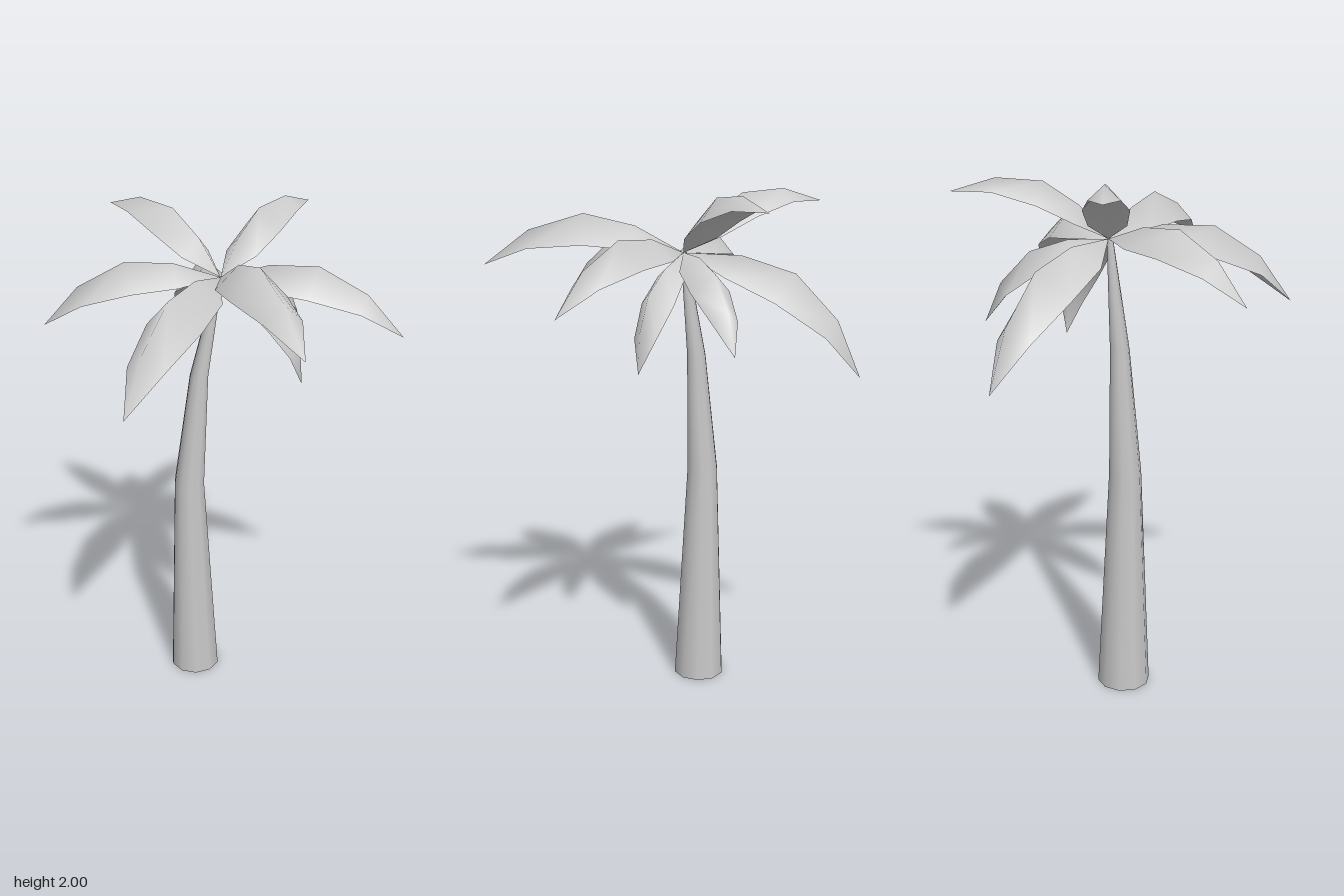
import * as THREE from 'three';

const CROWN = new THREE.Vector3(-0.03, 1.77, -0.07);

// Leaf stations in units of leaf length: along, bulge, half width, edge drop
const STATIONS = [
  [0, 0, 0, 0],
  [0.23, 0.145, 0.115, 0.11],
  [0.48, 0.22, 0.135, 0.145],
  [0.76, 0.157, 0.09, 0.085],
  [1, 0, 0, 0],
];

// Leaf tips, going round the crown
const TIPS = [
  [0.655, 1.60, -0.07],
  [0.41, 1.72, 0.55],
  [-0.16, 1.50, 0.665],
  [-0.655, 1.60, 0.14],
  [-0.55, 1.95, -0.34],
  [-0.345, 1.32, -0.665],
  [0.19, 1.945, -0.60],
  [0.20, 1.455, -0.48],
  [0.28, 1.36, -0.11],
];

// Trunk rings: height, centre x, radius
const RINGS = [
  [0, -0.15, 0.104],
  [0.9, -0.163, 0.062],
  [1.37, -0.117, 0.037],
  [1.77, -0.035, 0.012],
];

// Arched leaf folded along its ridge
function leafGeometry(tip) {
  const chord = new THREE.Vector3(...tip).sub(CROWN);
  const size = chord.length();
  const dir = chord.normalize();
  const side = new THREE.Vector3(0, 1, 0).cross(dir).normalize();
  const up = dir.clone().cross(side);
  const positions = [], index = [];
  STATIONS.forEach(([along, bulge, half, drop], i) => {
    for (const s of [-1, 0, 1]) {
      const p = CROWN.clone()
        .addScaledVector(dir, along * size)
        .addScaledVector(up, (bulge - Math.abs(s) * drop) * size)
        .addScaledVector(side, s * half * size);
      positions.push(p.x, p.y, p.z);
    }
    if (i === 0) return;
    for (let k = 0; k < 2; k++) {
      const a = (i - 1) * 3 + k, b = a + 1, c = a + 3, d = a + 4;
      if (i > 1) index.push(a, d, b);
      if (i === 1) index.push(a, c, d);
      else if (i < STATIONS.length - 1) index.push(a, c, d);
    }
  });
  const geometry = new THREE.BufferGeometry();
  geometry.setAttribute('position', new THREE.Float32BufferAttribute(positions, 3));
  geometry.setIndex(index);
  geometry.computeVertexNormals();
  // The corners meeting at each pointed end share the ridge direction
  const normal = geometry.attributes.normal;
  const last = (STATIONS.length - 1) * 3;
  for (const start of [0, last]) {
    const sum = new THREE.Vector3();
    for (let k = 0; k < 3; k++) sum.add(new THREE.Vector3().fromBufferAttribute(normal, start + k));
    sum.normalize();
    for (let k = 0; k < 3; k++) normal.setXYZ(start + k, sum.x, sum.y, sum.z);
  }
  return geometry;
}

// Ten-sided tapering trunk, bent by moving each ring
function trunkGeometry() {
  const n = RINGS.length - 1;
  const geometry = new THREE.CylinderGeometry(1, 1, 1, 10, n);
  geometry.rotateY(Math.PI / 2);
  const pos = geometry.attributes.position;
  for (let i = 0; i < pos.count; i++) {
    const [y, x, r] = RINGS[Math.round((pos.getY(i) + 0.5) * n)];
    pos.setXYZ(i, x + pos.getX(i) * r, y, -0.067 + pos.getZ(i) * r);
  }
  return geometry;
}

export function createModel() {
  const group = new THREE.Group();
  group.name = 'palmTree';

  const trunk = new THREE.Mesh(trunkGeometry(), new THREE.MeshStandardMaterial({ color: 0xcccccc }));
  trunk.name = 'trunk';
  group.add(trunk);

  const leaves = new THREE.Group();
  leaves.name = 'leaves';
  const leafMaterial = new THREE.MeshStandardMaterial({ color: 0xcccccc, side: THREE.DoubleSide });
  TIPS.forEach((tip, i) => {
    const leaf = new THREE.Mesh(leafGeometry(tip), leafMaterial);
    leaf.name = `leaf${i + 1}`;
    leaves.add(leaf);
  });
  group.add(leaves);
  return group;
}
